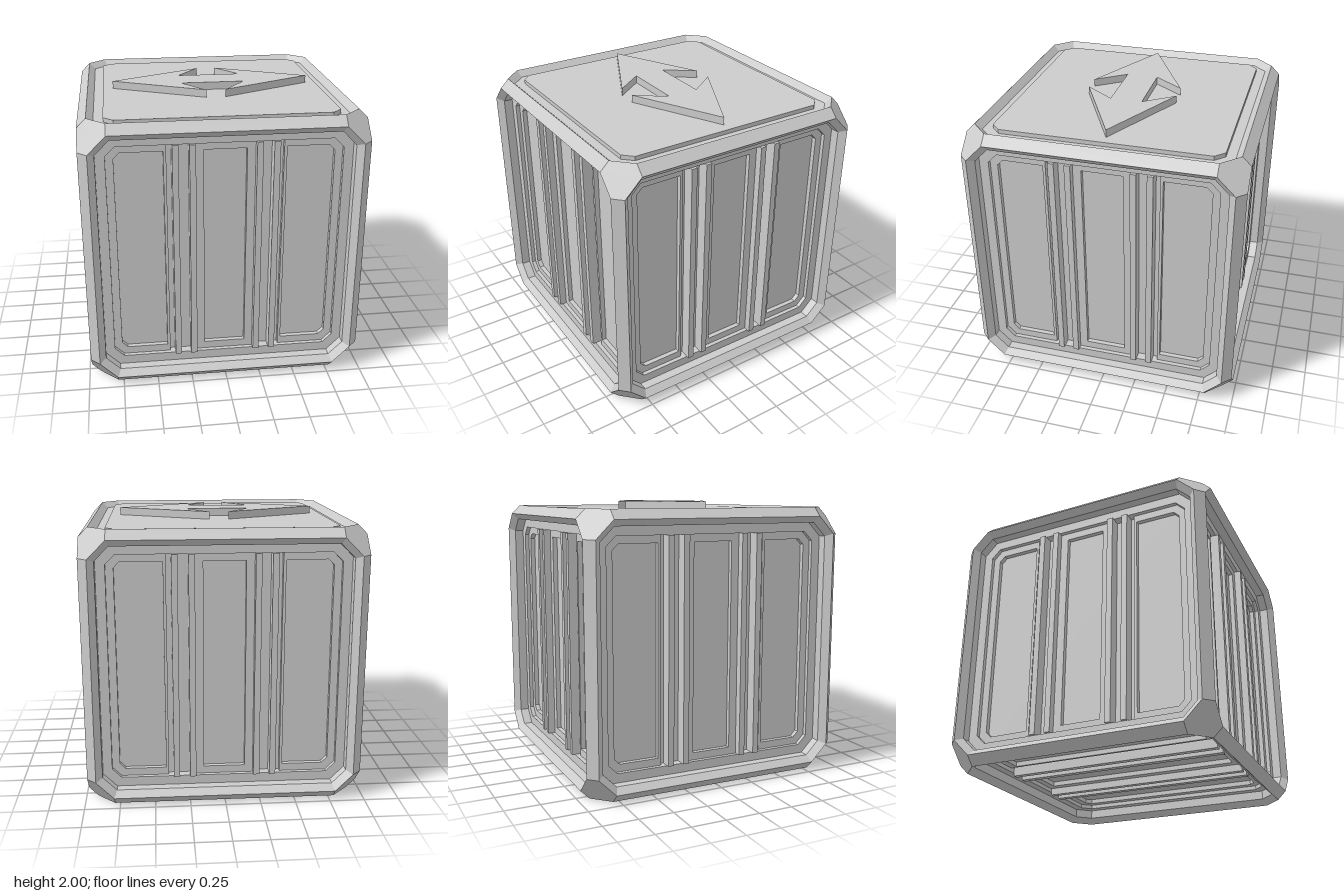
import * as THREE from 'three';

const material = new THREE.MeshStandardMaterial({ color: 0xcccccc, flatShading: true, side: THREE.DoubleSide });

// Main radii of the crate, measured from its centre
const OUT = 0.98, RIDGE = 0.915, CUT = 0.79;
const BEVEL = 0.935, LEDGE = 0.87, RIB = 0.892, PLATE = 0.84, FLOOR = 0.806;
const LID = 0.965, RECESS = 0.804;

function add(parent, name, geometry, x = 0, y = 0, z = 0) {
  const mesh = new THREE.Mesh(geometry, material);
  mesh.name = name;
  mesh.position.set(x, y, z);
  parent.add(mesh);
  return mesh;
}

const toPoints = (list) => list.map(([x, y]) => new THREE.Vector2(x, y));
const mirrorX = (list) => list.map(([x, y]) => [-x, y]);

// Square with cut corners: half size r, straight sides end at c
const octagon = (r, c) => [[r, -c], [r, c], [c, r], [-c, r], [-r, c], [-r, -c], [-c, -r], [c, -r]];

const flat = (outline) => new THREE.ShapeGeometry(new THREE.Shape(toPoints(outline)));

function slab(outline, holes, z0, z1) {
  const shape = new THREE.Shape(toPoints(outline));
  shape.holes = holes.map((h) => new THREE.Path(toPoints(h)));
  return new THREE.ExtrudeGeometry(shape, { depth: z1 - z0, bevelEnabled: false }).translate(0, 0, z0);
}

// Band between two outlines at different depths
function band(a, za, b, zb) {
  const positions = [], index = [], n = a.length;
  for (let i = 0; i < n; i++) {
    positions.push(...a[i], za, ...b[i], zb);
    const p = 2 * i, q = 2 * ((i + 1) % n);
    index.push(p, q, q + 1, p, q + 1, p + 1);
  }
  const indexed = new THREE.BufferGeometry();
  indexed.setAttribute('position', new THREE.Float32BufferAttribute(positions, 3));
  indexed.setIndex(index);
  const g = indexed.toNonIndexed();
  g.computeVertexNormals();
  return g;
}

const ridge = octagon(RIDGE, CUT);
const inner = octagon(LEDGE, 0.771);
const recess = octagon(RECESS, 0.738);

// Stepped recess with three panel frames and two pairs of ribs
function ribbedFace() {
  const g = new THREE.Group();
  add(g, 'innerBevel', band(ridge, OUT, inner, BEVEL));
  add(g, 'innerWall', band(inner, BEVEL, inner, LEDGE));
  const ledge = new THREE.Shape(toPoints(inner));
  ledge.holes.push(new THREE.Path(toPoints(recess)));
  add(g, 'ledge', new THREE.ShapeGeometry(ledge), 0, 0, LEDGE);
  add(g, 'recessWall', band(recess, LEDGE, recess, FLOOR));
  add(g, 'recessFloor', flat(recess), 0, 0, FLOOR);

  const r = RECESS, c = 0.738;
  const sideFrame = [[0.4, -r], [c, -r], [r, -c], [r, c], [c, r], [0.4, r]];
  const sideHole = [[0.42, -0.75], [0.71, -0.75], [0.75, -0.71], [0.75, 0.71], [0.71, 0.75], [0.42, 0.75]];
  const box = (w, h) => [[-w, -h], [w, -h], [w, h], [-w, h]];
  add(g, 'sidePanelFrame', slab(sideFrame, [sideHole], FLOOR, PLATE));
  add(g, 'sidePanelFrame', slab(mirrorX(sideFrame), [mirrorX(sideHole)], FLOOR, PLATE));
  add(g, 'middlePanelFrame', slab(box(0.205, r), [box(0.147, 0.75)], FLOOR, PLATE));

  for (const x of [-0.343, -0.227, 0.227, 0.343]) {
    add(g, 'rib', new THREE.BoxGeometry(0.043, 2 * r, RIB - FLOOR), x, 0, (RIB + FLOOR) / 2);
  }
  return g;
}

// Lid face with a raised plate and a raised two-headed arrow
function lidFace() {
  const g = new THREE.Group();
  add(g, 'innerBevel', band(ridge, OUT, inner, BEVEL));
  add(g, 'lidBase', flat(inner), 0, 0, BEVEL);
  add(g, 'lidPlate', slab(recess, [], BEVEL, LID));
  const half = [[0.23, -0.115], [0.07, -0.33], [0.73, 0], [0.07, 0.33], [0.23, 0.115]];
  const arrow = [...half, ...half.map(([x, y]) => [-x, -y])];
  add(g, 'arrow', slab(arrow, [], LID, 1.02));
  return g;
}

// Cut corner of the frame: a six-sided facet
function cornerFacet(sx, sy, sz) {
  const ring = [
    [OUT, RIDGE, CUT], [RIDGE, OUT, CUT], [CUT, OUT, RIDGE],
    [CUT, RIDGE, OUT], [RIDGE, CUT, OUT], [OUT, CUT, RIDGE],
  ].map(([x, y, z]) => [x * sx, y * sy, z * sz]);
  if (sx * sy * sz < 0) ring.reverse();
  const positions = [];
  for (let i = 1; i < 5; i++) positions.push(...ring[0], ...ring[i], ...ring[i + 1]);
  const g = new THREE.BufferGeometry();
  g.setAttribute('position', new THREE.Float32BufferAttribute(positions, 3));
  g.computeVertexNormals();
  return g;
}

export function createModel() {
  const model = new THREE.Group();
  model.name = 'crate';
  const body = new THREE.Group();
  body.name = 'body';
  body.position.y = OUT;
  model.add(body);

  // Faces
  const faces = [
    ['frontFace', 0, 0], ['leftFace', 0, Math.PI / 2], ['backFace', 0, Math.PI],
    ['rightFace', 0, -Math.PI / 2], ['bottomFace', Math.PI / 2, 0], ['topFace', -Math.PI / 2, 0],
  ];
  for (const [name, rx, ry] of faces) {
    const face = name === 'topFace' ? lidFace() : ribbedFace();
    face.name = name;
    face.rotation.set(rx, ry, 0);
    body.add(face);
  }

  // Chamfered edges and corners of the frame
  const mid = (OUT + RIDGE) / 2, width = (OUT - RIDGE) * Math.SQRT2;
  for (const s of [-1, 1]) {
    for (const t of [-1, 1]) {
      for (let axis = 0; axis < 3; axis++) {
        const p = new THREE.Vector3();
        p.setComponent((axis + 1) % 3, s * mid).setComponent((axis + 2) % 3, t * mid);
        const along = new THREE.Vector3().setComponent(axis, 1);
        const edge = add(body, 'frameEdge', new THREE.PlaneGeometry(width, 2 * CUT), p.x, p.y, p.z);
        edge.quaternion.setFromRotationMatrix(new THREE.Matrix4().lookAt(p, new THREE.Vector3(), along));
      }
      for (const u of [-1, 1]) add(body, 'frameCorner', cornerFacet(s, t, u));
    }
  }
  return model;
}
